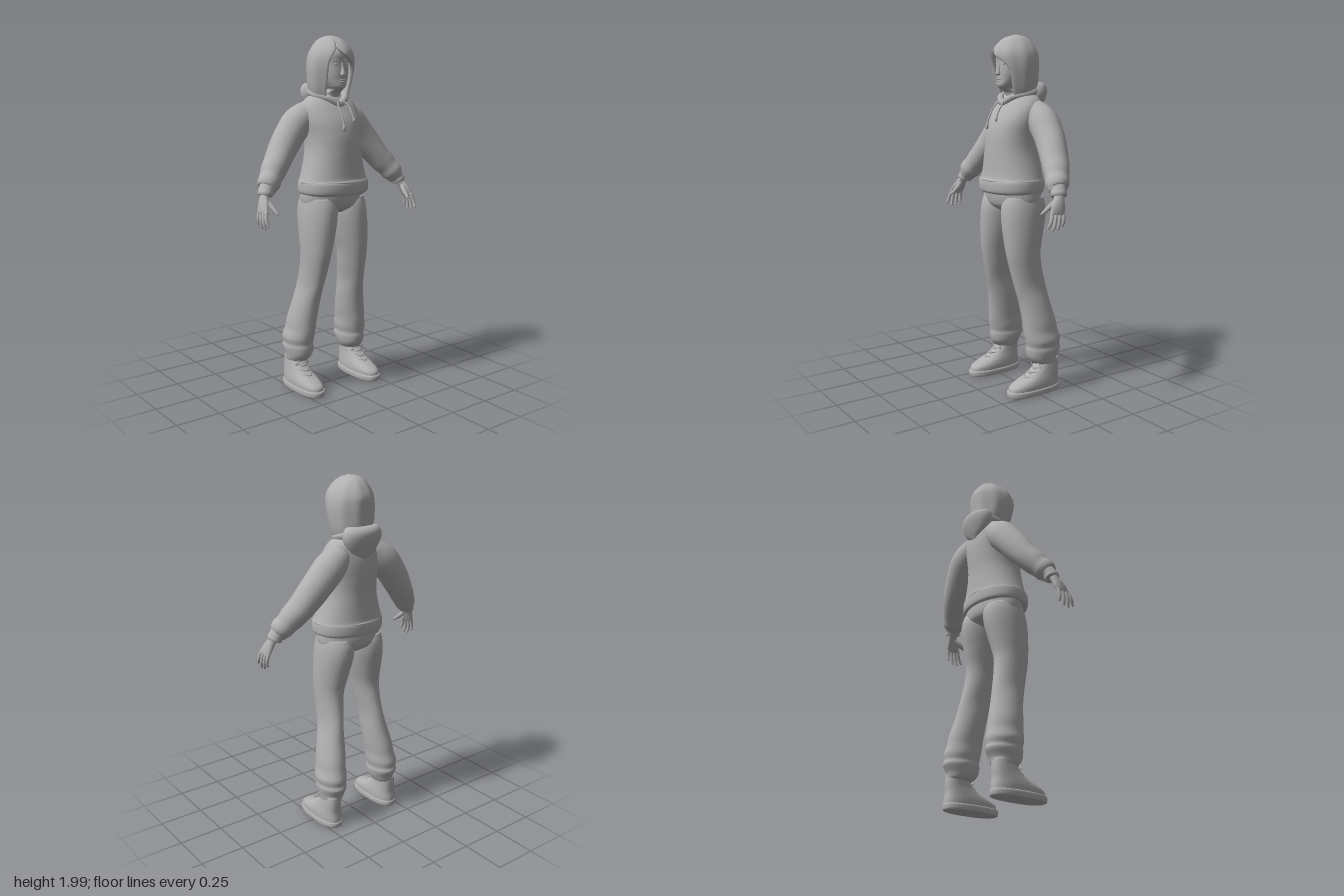
import * as THREE from 'three';

const V = (x, y, z) => new THREE.Vector3(x, y, z);
const TAU = Math.PI * 2;

// Closed skin over loops of points, with optional fan caps
function skin(rows, capStart = true, capEnd = true) {
  const n = rows[0].length, pos = [], idx = [];
  rows.forEach(r => r.forEach(p => pos.push(p.x, p.y, p.z)));
  for (let i = 0; i < rows.length - 1; i++) {
    for (let j = 0; j < n; j++) {
      const a = i * n + j, b = i * n + (j + 1) % n;
      idx.push(a, a + n, b, b, a + n, b + n);
    }
  }
  const cap = (i, flip) => {
    const c = rows[i].reduce((s, p) => s.add(p), V(0, 0, 0)).divideScalar(n);
    const k = pos.length / 3;
    pos.push(c.x, c.y, c.z);
    for (let j = 0; j < n; j++) {
      const a = i * n + j, b = i * n + (j + 1) % n;
      if (flip) idx.push(a, b, k); else idx.push(a, k, b);
    }
  };
  if (capStart) cap(0, true);
  if (capEnd) cap(rows.length - 1, false);
  const g = new THREE.BufferGeometry();
  g.setAttribute('position', new THREE.Float32BufferAttribute(pos, 3));
  g.setIndex(idx);
  g.computeVertexNormals();
  return g;
}

const spline = pts => new THREE.CatmullRomCurve3(pts, false, 'catmullrom', 0.5);

// Elliptical loft through keys [x, y, z, ra, rb]; flat keeps rings level (keys ascend)
function loft(keys, { flat = false, n = 28, per = 5, power = 1, s = 1 } = {}) {
  const path = spline(keys.map(k => V(k[0] * s, k[1], k[2])));
  const size = spline(keys.map(k => V(k[3], k[4] ?? k[3], 0)));
  const steps = (keys.length - 1) * per, rows = [];
  for (let i = 0; i <= steps; i++) {
    const c = path.getPoint(i / steps), r = size.getPoint(i / steps);
    const t = flat ? V(0, 1, 0) : path.getTangent(i / steps);
    const side = t.clone().cross(V(0, 0, 1)).normalize();
    const b = side.clone().cross(t);
    const row = [];
    for (let j = 0; j < n; j++) {
      const u = Math.cos(j / n * TAU), v = Math.sin(j / n * TAU);
      const f = w => Math.sign(w) * Math.pow(Math.abs(w), power);
      row.push(c.clone().addScaledVector(side, f(u) * r.x).addScaledVector(b, f(v) * r.y));
    }
    rows.push(row);
  }
  return skin(rows);
}

// Bob with a swept fringe: crescent loops, keys [y, rx, rz, zc, openFrom, openTo]
function hairGeometry() {
  const keys = [
    [1.655, .1, .095, -.02, -.8, .8], [1.72, .12, .115, -.02, -.74, .74],
    [1.8, .13, .128, -.012, -.72, .72], [1.85, .13, .134, -.008, -.7, .5],
    [1.89, .123, .135, -.006, -.6, 0], [1.925, .108, .122, -.006, -.44, -.36],
    [1.96, .082, .096, -.01, -.4, -.4], [1.985, .052, .064, -.014, -.4, -.4],
    [1.999, .012, .016, -.016, -.4, -.4]];
  const A = spline(keys.map(k => V(k[0], k[1], k[2])));
  const B = spline(keys.map(k => V(k[3], k[4], k[5])));
  const steps = 48, n = 64, rows = [];
  for (let i = 0; i <= steps; i++) {
    const a = A.getPoint(i / steps), b = B.getPoint(i / steps), row = [];
    const end = Math.max(b.z, b.y) - TAU;
    for (const inner of [false, true]) {
      for (let j = 0; j < n; j++) {
        const w = inner ? 1 - j / (n - 1) : j / (n - 1);
        const phi = b.y + (end - b.y) * w;
        const wave = 1 + .013 * Math.sin(9 * phi + 1);
        const k = wave * (inner && i > 0 ? .86 : 1);
        row.push(V(a.y * k * Math.sin(phi), a.x, b.x + a.z * k * Math.cos(phi)));
      }
    }
    rows.push(row);
  }
  return skin(rows, false, true);
}

export function createModel() {
  const model = new THREE.Group();
  const grey = new THREE.MeshStandardMaterial({ color: 0xb0b0b0, side: THREE.DoubleSide });
  grey.name = 'plainGrey';
  const add = (name, geo) => {
    const m = new THREE.Mesh(geo, grey);
    m.name = name;
    model.add(m);
    return m;
  };
  const ball = (name, p, r) => {
    const m = add(name, new THREE.SphereGeometry(1, 16, 12));
    m.position.set(...p);
    m.scale.set(...r);
  };
  const tube = (name, pts, r, closed = false) => add(name, new THREE.TubeGeometry(
    new THREE.CatmullRomCurve3(pts.map(p => V(...p)), closed), closed ? 48 : 16, r, 8, closed));

  // Sweater body with a rolled hem
  add('sweaterBody', loft([
    [0, 1.135, .018, .185, .145], [0, 1.15, .018, .207, .161], [0, 1.2, .018, .208, .163],
    [0, 1.225, .015, .198, .152], [0, 1.3, .014, .175, .148], [0, 1.38, .012, .158, .147],
    [0, 1.46, .005, .158, .147], [0, 1.54, -.008, .17, .137], [0, 1.61, -.025, .168, .112],
    [0, 1.655, -.035, .14, .09], [0, 1.68, -.035, .1, .07]],
    { flat: true, n: 40, power: .92 }));
  tube('hemSeam', Array.from({ length: 16 }, (_, i) => [
    .203 * Math.cos(i / 16 * TAU), 1.208, .018 + .158 * Math.sin(i / 16 * TAU)]), .006, true);

  // Hood lying on the back and collar round the neck
  add('hood', loft([
    [0, 1.565, -.11, .03, .03], [0, 1.61, -.112, .085, .05], [0, 1.67, -.112, .117, .07],
    [0, 1.715, -.115, .115, .07], [0, 1.74, -.11, .095, .056], [0, 1.745, -.1, .06, .03]],
    { flat: true }));
  tube('collar', [[0, 1.63, .072], [.055, 1.66, .05], [.098, 1.68, -.02], [.075, 1.7, -.1],
    [-.075, 1.7, -.1], [-.098, 1.68, -.02], [-.055, 1.66, .05]], .02, true);

  // Drawstrings with knotted ends
  tube('drawstring', [[-.02, 1.645, .08], [-.032, 1.61, .112], [-.03, 1.56, .142], [-.032, 1.51, .158]], .005);
  tube('drawstring', [[.02, 1.645, .08], [.038, 1.62, .108], [.04, 1.58, .134], [.044, 1.545, .148]], .005);
  ball('stringEnd', [-.032, 1.505, .158], [.009, .018, .009]);
  ball('stringEnd', [.044, 1.545, .148], [.008, .014, .008]);

  // Hips
  add('trouserHips', loft([
    [0, 1.03, .005, .1, .07], [0, 1.06, .005, .175, .118], [0, 1.1, .006, .198, .135],
    [0, 1.17, .01, .195, .138]], { flat: true, n: 36 }));

  // Head and face
  add('head', loft([
    [0, 1.62, -.01, .052, .052], [0, 1.685, 0, .05, .05], [0, 1.708, .035, .036, .05],
    [0, 1.725, .043, .046, .06], [0, 1.76, .03, .066, .072], [0, 1.8, .02, .078, .082],
    [0, 1.85, .01, .083, .089], [0, 1.9, .006, .083, .096], [0, 1.94, 0, .065, .075],
    [0, 1.96, 0, .03, .04]], { flat: true, power: .92 }));
  add('nose', loft([
    [0, 1.778, .1, .008, .008], [0, 1.788, .104, .016, .017], [0, 1.815, .1, .009, .013],
    [0, 1.852, .094, .006, .007]], { flat: true, n: 14 }));
  ball('upperLip', [0, 1.759, .099], [.021, .005, .008]);
  ball('lowerLip', [0, 1.75, .098], [.018, .006, .009]);
  add('hair', hairGeometry());

  for (const s of [1, -1]) {
    const P = (x, y, z) => [x * s, y, z];
    ball('eye', P(.033, 1.843, .085), [.014, .008, .011]);
    tube('eyebrow', [P(.015, 1.862, .097), P(.034, 1.868, .092), P(.052, 1.862, .082)], .004);

    // Sleeve, gathered towards the cuff
    add('sleeve', loft([
      [.09, 1.6, -.05, .065, .07], [.175, 1.535, -.065, .087, .085], [.24, 1.465, -.06, .084, .083],
      [.295, 1.395, -.045, .08, .08], [.345, 1.33, -.025, .071, .077], [.385, 1.282, -.005, .069, .07],
      [.41, 1.25, .01, .061, .064], [.433, 1.222, .025, .062, .062], [.447, 1.2, .033, .05, .052],
      [.457, 1.19, .036, .04, .044], [.468, 1.168, .042, .04, .044], [.47, 1.163, .043, .03, .034]], { s }));

    // Hand with four fingers and thumb
    add('palm', loft([
      [.462, 1.19, .04, .022, .026], [.48, 1.155, .05, .021, .029], [.495, 1.12, .065, .019, .04],
      [.507, 1.085, .078, .013, .043], [.509, 1.075, .08, .007, .035]], { s, n: 16 }));
    for (let i = 0; i < 4; i++) {
      const z = .045 + .022 * i, len = [.07, .088, .09, .075][i], out = .008 * (i - 1) + .012;
      add('finger', loft([
        [.504, 1.095, z, .01], [.514, 1.06, z + out * .4, .01], [.516, 1.085 - len * .7, z + out * .8, .0085],
        [.51, 1.085 - len, z + out * 1.2, .005]], { s, n: 10, per: 4 }));
    }
    add('thumb', loft([
      [.48, 1.15, .06, .012], [.468, 1.12, .09, .014], [.46, 1.095, .12, .011],
      [.455, 1.075, .147, .006]], { s, n: 10, per: 4 }));

    // Trouser leg, flared and bunched at the ankle
    add('trouserLeg', loft([
      [.198, .17, -.08, .045, .06], [.192, .178, -.075, .062, .076], [.187, .21, -.066, .073, .093],
      [.187, .25, -.072, .08, .107], [.187, .275, -.07, .077, .103], [.187, .31, -.068, .083, .108],
      [.18, .36, -.058, .077, .105], [.173, .42, -.05, .077, .102], [.158, .52, -.03, .07, .096],
      [.146, .61, -.01, .061, .099], [.136, .7, .01, .067, .1], [.128, .8, .025, .077, .105],
      [.117, .9, .02, .091, .12], [.106, 1.0, .01, .1, .134], [.1, 1.07, .005, .1, .132],
      [.1, 1.12, .005, .09, .115]], { flat: true, s }));

    // Shoe: sole, upper and crossed laces
    const shoe = { flat: true, s, power: .8, per: 4 };
    add('shoeSole', loft([
      [.203, .008, .005, .06, .16], [.203, .014, .005, .069, .17], [.203, .036, .005, .07, .172],
      [.203, .044, .005, .066, .167]], shoe));
    add('shoeUpper', loft([
      [.203, .035, .003, .064, .165], [.203, .065, 0, .065, .16], [.203, .088, -.02, .062, .136],
      [.203, .108, -.045, .058, .109], [.203, .135, -.067, .053, .088], [.202, .165, -.083, .05, .072],
      [.2, .2, -.092, .047, .06]], shoe));
    for (let i = 0; i < 4; i++) {
      const y = .106 + .021 * i, z = .068 - .03 * i, w = .036;
      for (const d of [1, -1]) {
        tube('shoelace', [P(.203 - d * w, y - .014, z - .022), P(.203, y + .004, z),
          P(.203 + d * w, y + .006, z - .034)], .004);
      }
    }
    for (const d of [1, -1]) {
      tube('laceBow', [P(.203, .172, -.014), P(.203 + d * .025, .178, -.008),
        P(.203 + d * .042, .158, -.012), P(.203 + d * .018, .158, -.008)], .004);
    }
  }
  return model;
}
